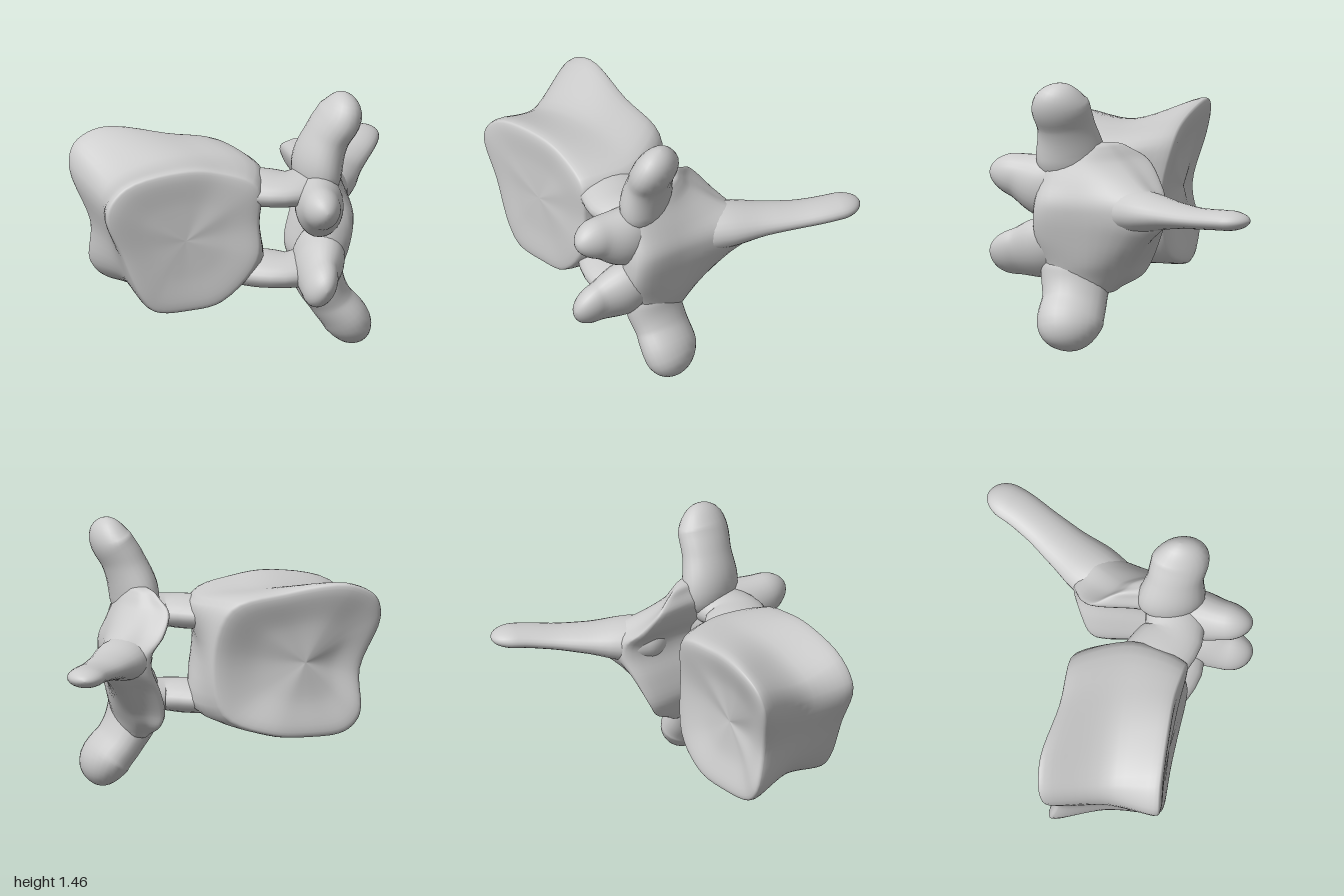
import * as THREE from 'three';

const V = (x, y, z) => new THREE.Vector3(x, y, z);
const material = new THREE.MeshStandardMaterial({ color: 0xcccccc });

// Skin over closed rings of equal length, capped at both ends and wound outwards
function skin(rings) {
  const n = rings[0].length, pts = rings.flat(), idx = [];
  for (let r = 0; r < rings.length - 1; r++)
    for (let i = 0; i < n; i++) {
      const a = r * n + i, b = r * n + (i + 1) % n;
      idx.push(a, b, a + n, b, b + n, a + n);
    }
  for (const [r, flip] of [[0, true], [rings.length - 1, false]]) {
    const centre = V(0, 0, 0);
    rings[r].forEach(p => centre.addScaledVector(p, 1 / n));
    const c = pts.push(centre) - 1;
    for (let i = 0; i < n; i++) {
      const a = r * n + i, b = r * n + (i + 1) % n;
      idx.push(c, flip ? b : a, flip ? a : b);
    }
  }
  let volume = 0;
  for (let i = 0; i < idx.length; i += 3)
    volume += pts[idx[i]].dot(pts[idx[i + 1]].clone().cross(pts[idx[i + 2]]));
  if (volume < 0) idx.reverse();
  const g = new THREE.BufferGeometry().setFromPoints(pts);
  g.setIndex(idx);
  g.computeVertexNormals();
  return g;
}

// Smooth loft through a few coarse sections
function loft(sections, around, along) {
  const fine = sections.map(s => {
    const c = new THREE.CatmullRomCurve3(s, true, 'centripetal');
    return Array.from({ length: around }, (_, i) => c.getPoint(i / around));
  });
  const columns = fine[0].map((_, i) =>
    new THREE.CatmullRomCurve3(fine.map(f => f[i]), false, 'centripetal'));
  return skin(Array.from({ length: along + 1 }, (_, r) => columns.map(c => c.getPoint(r / along))));
}

// Shrinks a section about its centre, then shifts it
function inset(section, k, shift) {
  const c = V(0, 0, 0);
  section.forEach(p => c.addScaledVector(p, 1 / section.length));
  return section.map(p => p.clone().lerp(c, 1 - k).add(shift));
}

// Limb rounded at both ends: stations [x, y, z, halfWidth, halfThickness], wide axis given
function limb(stations, wide, cap) {
  const path = new THREE.CatmullRomCurve3(stations.map(s => V(s[0], s[1], s[2])));
  const radii = new THREE.CatmullRomCurve3(stations.map(s => V(s[3], s[4], 0)));
  const c = cap / path.getLength(), rings = [];
  const ring = (u, k) => {
    const t = path.getUtoTmapping(u), p = path.getPoint(t), r = radii.getPoint(t);
    const tan = path.getTangent(t);
    const w = wide.clone().addScaledVector(tan, -wide.dot(tan)).normalize();
    const h = tan.clone().cross(w);
    rings.push(Array.from({ length: 24 }, (_, i) => {
      const a = i / 24 * Math.PI * 2;
      return p.clone().addScaledVector(w, Math.cos(a) * r.x * k).addScaledVector(h, Math.sin(a) * r.y * k);
    }));
  };
  for (let i = 1; i < 9; i++) {
    const a = i / 9 * Math.PI / 2;
    ring(c * (1 - Math.cos(a)), Math.sin(a));
  }
  for (let i = 0; i < 14; i++) ring(c + (1 - 2 * c) * i / 14, 1);
  for (let i = 0; i < 9; i++) {
    const a = i / 9 * Math.PI / 2;
    ring(1 - c + c * Math.sin(a), Math.cos(a));
  }
  ring(1, 0.03);
  return skin(rings);
}

export function createModel() {
  const group = new THREE.Group();
  const add = (name, geometry) => {
    const m = new THREE.Mesh(geometry, material);
    m.name = name;
    group.add(m);
  };

  // Body: front rim, narrower waist and back rim, with nearly flat end faces
  const front = [V(-1, .9, .03), V(-.9, 1.04, .05), V(-.6, 1.11, .13), V(-.4, 1.09, .19),
    V(-.2, 1, .28), V(-.19, .78, .27), V(-.2, .57, .28), V(-.38, .34, .2),
    V(-.55, .3, .14), V(-.73, .31, .09), V(-.81, .4, .07), V(-.91, .65, .04)];
  const waist = [V(-.89, .87, -.22), V(-.84, .98, -.22), V(-.6, 1.07, -.17), V(-.34, 1.08, -.1),
    V(-.05, 1.01, .02), V(-.09, .75, .02), V(-.05, .44, .02), V(-.3, .36, -.08),
    V(-.5, .34, -.14), V(-.7, .36, -.2), V(-.78, .44, -.22), V(-.84, .65, -.22)];
  const back = [V(-.89, .95, -.57), V(-.85, 1.08, -.59), V(-.7, 1.155, -.56), V(-.38, 1.11, -.41),
    V(-.1, 1.03, -.32), V(-.03, .75, -.25), V(-.07, .44, -.29), V(-.3, .33, -.41),
    V(-.5, .31, -.46), V(-.71, .33, -.5), V(-.79, .42, -.52), V(-.81, .66, -.48)];
  const z = d => V(0, 0, d);
  add('body', loft([inset(front, .03, z(0)), inset(front, .5, z(.005)), inset(front, .94, z(.015)),
    front, waist, back, inset(back, .93, z(-.015)), inset(back, .5, z(.02)),
    inset(back, .03, z(.025))], 60, 56));

  // Arch plate: rows [y, innerX, frontZ, outerX, ridgeX, ridgeZ, backZ]
  const rows = [
    [.32, .18, .33, .31, .29, .03, -.03],
    [.38, .15, .36, .33, .32, -.02, -.14],
    [.46, .11, .39, .36, .37, -.05, -.19],
    [.6, .12, .44, .39, .48, -.13, -.23],
    [.72, .14, .45, .41, .59, -.22, -.25],
    [.8, .14, .44, .41, .59, -.22, -.25],
    [.9, .11, .41, .37, .43, -.1, -.23],
    [1.01, .1, .38, .31, .3, 0, -.17],
    [1.07, .14, .33, .28, .27, .04, -.08]];
  const sections = rows.map(([y, xi, zf, xo, rx, rz, zb]) => {
    const w = rx - xi;
    return [V(xi, y, zf - .04), V((xi + xo) / 2, y, zf), V(xo, y, .18), V(rx, y, rz),
      V(xi + .72 * w, y, (rz + zb) / 2), V(xi + .46 * w, y, zb), V(xi + .22 * w, y, zb + .42 * (zf - zb))];
  });
  const bottom = sections[0], top = sections[8];
  add('archPlate', loft([inset(bottom, .1, V(0, -.04, 0)), inset(bottom, .7, V(0, -.03, 0)), ...sections,
    inset(top, .7, V(0, .03, 0)), inset(top, .1, V(0, .04, 0))], 42, 52));

  // Spinous process, reaching out to the side and back
  add('spinousProcess', limb([
    [.3, .76, .05, .12, .12], [.45, .77, -.12, .155, .115], [.6, .78, -.26, .13, .075],
    [.75, .79, -.39, .11, .056], [.88, .805, -.52, .105, .054], [.965, .81, -.65, .1, .054]],
    V(.7, 0, .7), .13));

  // Transverse processes, above and below
  add('upperTransverseProcess', limb([
    [.19, .86, .24, .18, .1], [.18, 1.05, .25, .185, .12], [.23, 1.22, .28, .155, .11],
    [.29, 1.34, .315, .16, .108], [.32, 1.455, .315, .15, .105]], V(0, 0, 1), .16));
  add('lowerTransverseProcess', limb([
    [.19, .58, .22, .18, .1], [.2, .39, .22, .19, .125], [.27, .25, .235, .175, .115],
    [.345, .14, .265, .18, .122], [.4, 0, .26, .17, .118]], V(0, 0, 1), .16));

  // Articular processes, pointing forwards
  add('upperArticularProcess', limb([
    [.22, .83, .12, .16, .1], [.13, .855, .36, .175, .13], [.05, .905, .53, .12, .105],
    [.01, .925, .67, .095, .085]], V(0, 1, 0), .13));
  add('lowerArticularProcess', limb([
    [.22, .58, .12, .16, .1], [.13, .52, .36, .18, .13], [.04, .48, .53, .135, .09],
    [.005, .475, .67, .12, .08]], V(.4, .9, 0), .13));

  // Pedicles, joining the body to the arch around the canal
  for (const [name, y] of [['upperPedicle', .93], ['lowerPedicle', .465]])
    add(name, limb([
      [-.34, y, -.06, .14, .08], [-.2, y, .04, .17, .085], [-.1, y, .15, .18, .09],
      [0, y, .24, .165, .085], [.13, y, .25, .15, .1], [.27, y, .24, .12, .1]], V(0, 0, 1), .08));

  return group;
}
